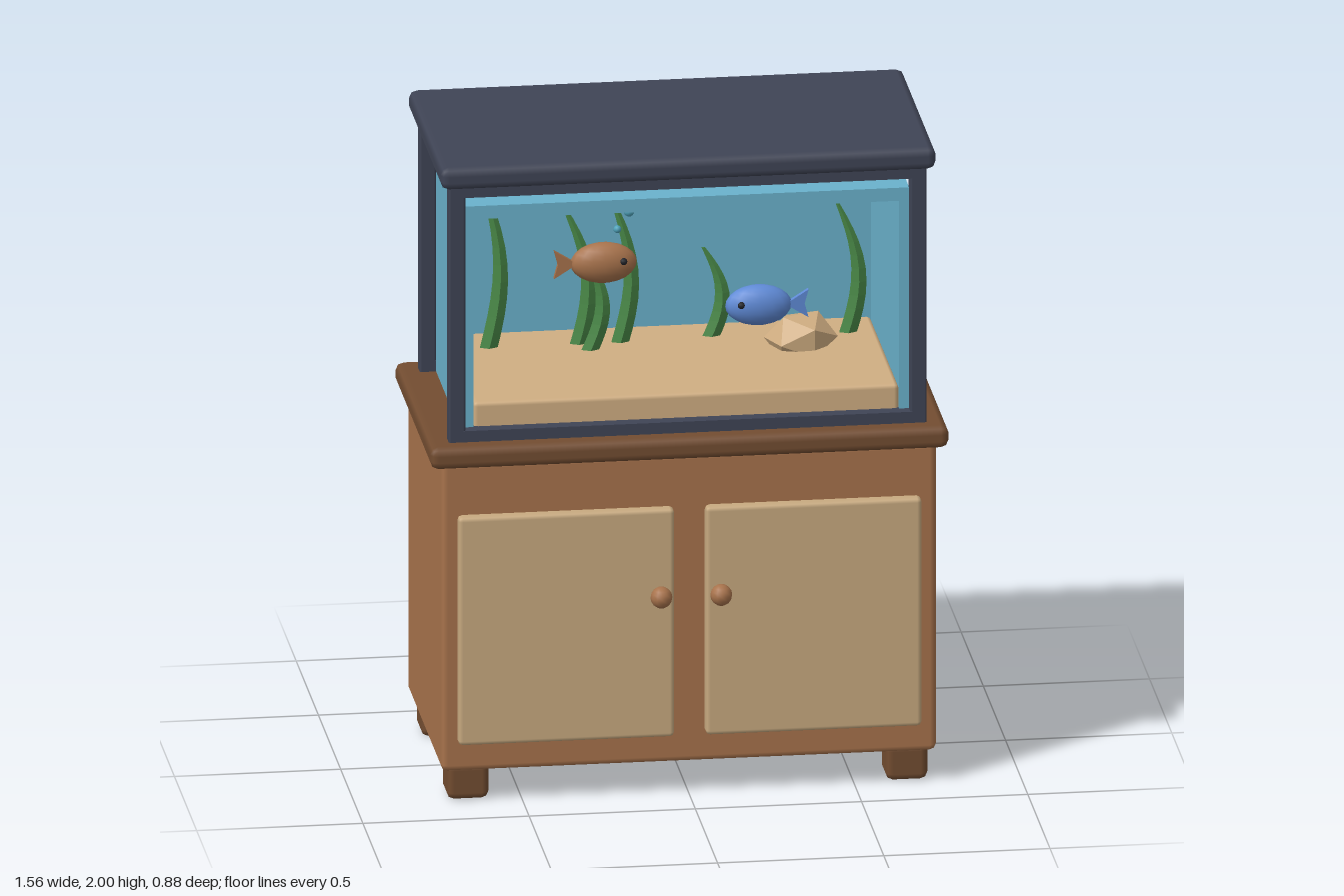
import * as THREE from 'three';
import { RoundedBoxGeometry } from 'three/addons/geometries/RoundedBoxGeometry.js';

const mat = (name, color, extra = {}) => {
  const m = new THREE.MeshStandardMaterial({ color, ...extra });
  m.name = name;
  return m;
};

// Tapered four-sided blade that follows a swaying curve
function bladeGeometry(height, lean) {
  const rows = 10, pos = [], idx = [];
  for (let i = 0; i <= rows; i++) {
    const t = i / rows, w = 0.027 * (1 - 0.8 * t * t);
    const cx = lean * t * t + 0.042 * Math.sin(t * Math.PI);
    const y = height * t;
    pos.push(cx + w, y, 0, cx, y, -w * 0.5, cx - w, y, 0, cx, y, w * 0.5);
  }
  for (let i = 0; i < rows; i++) {
    for (let j = 0; j < 4; j++) {
      const a = i * 4 + j, b = i * 4 + (j + 1) % 4;
      idx.push(a, b, a + 4, b, b + 4, a + 4);
    }
  }
  const top = rows * 4;
  idx.push(top, top + 1, top + 2, top, top + 2, top + 3);
  // Wind the faces outwards
  for (let i = 0; i < rows * 24; i += 3) [idx[i + 1], idx[i + 2]] = [idx[i + 2], idx[i + 1]];
  for (let i = rows * 24; i < idx.length; i += 3) [idx[i + 1], idx[i + 2]] = [idx[i + 2], idx[i + 1]];
  const g = new THREE.BufferGeometry();
  g.setAttribute('position', new THREE.Float32BufferAttribute(pos, 3));
  g.setIndex(idx);
  const flat = g.toNonIndexed();
  flat.computeVertexNormals();
  return flat;
}

export function createModel() {
  const wood = mat('wood', 0xa8734c);
  const darkWood = mat('dark wood', 0x734d31);
  const panel = mat('door panel', 0xc8aa80);
  const frame = mat('frame', 0x3f4455);
  const water = mat('water', 0x6ab2cc);
  const sand = mat('sand', 0xd0ae82);
  const green = mat('plant green', 0x4a8a48, { side: THREE.DoubleSide });
  const blue = mat('blue fish', 0x5f8ad6);
  const black = mat('eye black', 0x22242a);
  const bubbleMat = mat('bubble', 0x4fa3ba);

  const model = new THREE.Group();
  model.name = 'aquariumOnCabinet';

  const add = (name, geometry, material, x, y, z, parent = model) => {
    const m = new THREE.Mesh(geometry, material);
    m.name = name;
    m.position.set(x, y, z);
    parent.add(m);
    return m;
  };
  // Box given by its limits, with softened edges when r > 0
  const box = (name, material, x0, x1, y0, y1, z0, z1, r = 0) => {
    const [w, h, d] = [x1 - x0, y1 - y0, z1 - z0];
    const g = r ? new RoundedBoxGeometry(w, h, d, 1, r) : new THREE.BoxGeometry(w, h, d);
    return add(name, g, material, (x0 + x1) / 2, (y0 + y1) / 2, (z0 + z1) / 2);
  };

  // Cabinet
  box('cabinet', wood, -0.745, 0.745, 0.1, 1.075, -0.4, 0.36, 0.02);
  box('cabinetTop', darkWood, -0.78, 0.78, 1.06, 1.13, -0.44, 0.39, 0.025);
  for (const s of [-1, 1]) {
    for (const z of [0.27, -0.31]) {
      box('foot', darkWood, s * 0.66 - 0.063, s * 0.66 + 0.063, 0, 0.115, z - 0.063, z + 0.063, 0.022);
    }
    box('door', panel, s * 0.372 - 0.325, s * 0.372 + 0.325, 0.19, 0.91, 0.34, 0.39, 0.014);
    add('doorKnob', new THREE.SphereGeometry(0.033, 12, 8), wood, s * 0.09, 0.64, 0.41);
  }

  // Tank frame and lid
  for (const s of [-1, 1]) {
    for (const z of [0.31, -0.345]) {
      box('post', frame, s * 0.694 - 0.025, s * 0.694 + 0.025, 1.12, 1.94, z - 0.025, z + 0.025, 0.007);
    }
  }
  for (const z of [0.31, -0.345]) {
    box('bottomRail', frame, -0.68, 0.68, 1.125, 1.165, z - 0.025, z + 0.025);
    box('topRail', frame, -0.68, 0.68, 1.9, 1.94, z - 0.025, z + 0.025);
  }
  box('lid', frame, -0.745, 0.745, 1.93, 2, -0.4, 0.36, 0.025);

  // Water walls, open at the front, and the surface slab
  box('backWater', water, -0.67, 0.67, 1.13, 1.86, -0.36, -0.33);
  for (const s of [-1, 1]) {
    box('sideWater', water, s * 0.655 - 0.015, s * 0.655 + 0.015, 1.13, 1.86, -0.34, 0.3);
  }
  box('waterSurface', water, -0.67, 0.67, 1.82, 1.861, -0.36, 0.3);

  // Tank contents
  box('sandBed', sand, -0.64, 0.64, 1.13, 1.24, -0.345, 0.295, 0.014);
  const rock = add('rock', new THREE.IcosahedronGeometry(0.115, 0).toNonIndexed?.() ?? null, sand, 0.4, 1.26, -0.12);
  rock.geometry.computeVertexNormals();
  rock.scale.set(1, 0.72, 0.85);
  rock.rotation.y = 0.4;

  const plants = [ // x, z, height, lean
    [-0.53, -0.2, 0.54, -0.02], [-0.26, -0.2, 0.45, -0.045], [-0.235, -0.14, 0.3, 0],
    [-0.135, -0.2, 0.47, -0.025], [0.14, -0.22, 0.29, -0.02], [0.55, -0.2, 0.42, -0.03],
  ];
  for (const [x, z, h, lean] of plants) {
    add('waterPlant', bladeGeometry(h, lean), green, x, 1.23, z);
  }

  // Fish face +x; direction -1 turns them round
  const tail = new THREE.Shape();
  tail.moveTo(-0.08, 0);
  tail.lineTo(-0.15, 0.044);
  tail.lineTo(-0.138, 0);
  tail.lineTo(-0.15, -0.044);
  tail.closePath();
  const makeFish = (name, material, x, y, z, dir) => {
    const fish = new THREE.Group();
    fish.name = name;
    fish.position.set(x, y, z);
    fish.rotation.y = dir > 0 ? 0 : Math.PI;
    add('fishBody', new THREE.SphereGeometry(1, 16, 12), material, 0, 0, 0, fish).scale.set(0.1, 0.063, 0.045);
    const tailGeo = new THREE.ExtrudeGeometry(tail, { depth: 0.016, bevelEnabled: false });
    add('fishTail', tailGeo, material, 0, 0, -0.008, fish);
    for (const s of [-1, 1]) {
      add('fishEye', new THREE.SphereGeometry(0.011, 8, 6), black, 0.056, 0.012, s * 0.036, fish);
    }
    model.add(fish);
  };
  makeFish('brownFish', wood, -0.22, 1.59, 0.08, 1);
  makeFish('blueFish', blue, 0.25, 1.425, 0.05, -1);

  // Rising bubbles
  for (const [x, y, r] of [[-0.185, 1.71, 0.012], [-0.15, 1.765, 0.016], [-0.11, 1.815, 0.018], [-0.075, 1.878, 0.022]]) {
    add('bubble', new THREE.SphereGeometry(r, 10, 8), bubbleMat, x, y, 0.13);
  }

  return model;
}
